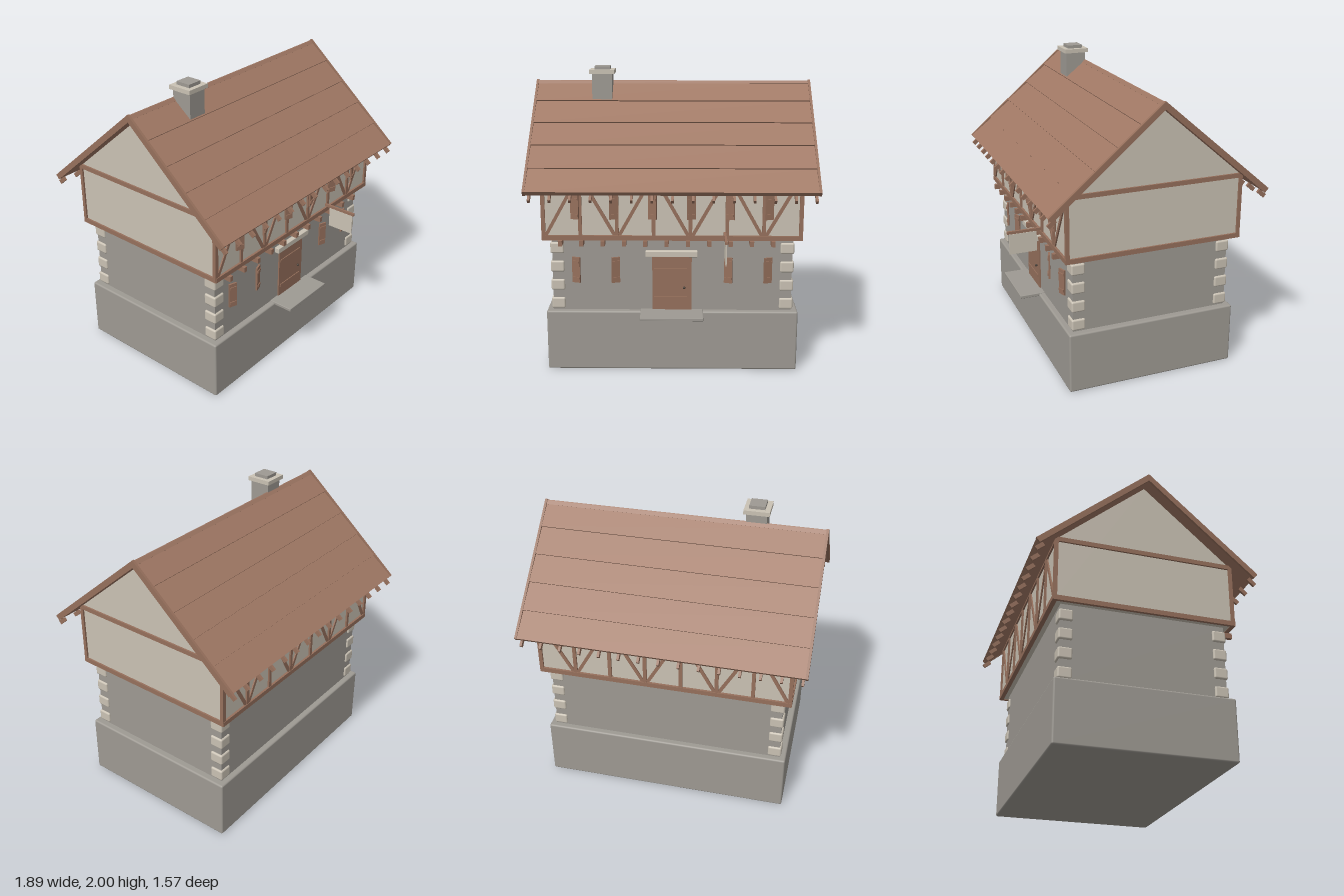
import * as THREE from 'three';
import { RoundedBoxGeometry } from 'three/addons/geometries/RoundedBoxGeometry.js';

const mat = (name, color) => Object.assign(new THREE.MeshStandardMaterial({ color }), { name });

export function createModel() {
  const stone = mat('grey stone', 0x9e9a93);
  const plaster = mat('cream plaster', 0xcac2b4);
  const wood = mat('brown timber', 0x96705c);
  const tile = mat('roof brown', 0xa07864);
  const iron = mat('dark iron', 0x4a4038);

  const model = new THREE.Group();
  const house = new THREE.Group(); // the building is symmetric about its own ridge line
  house.name = 'house';
  house.position.z = -0.04;
  model.add(house);

  const add = (name, geo, material, x = 0, y = 0, z = 0, parent = house) => {
    const m = new THREE.Mesh(geo, material);
    m.name = name;
    m.position.set(x, y, z);
    parent.add(m);
    return m;
  };
  // box given by its extents
  const box = (name, material, [x0, x1], [y0, y1], [z0, z1], bevel = 0, parent = house) => {
    const s = [x1 - x0, y1 - y0, z1 - z0];
    const geo = bevel ? new RoundedBoxGeometry(...s, 2, bevel) : new THREE.BoxGeometry(...s);
    return add(name, geo, material, (x0 + x1) / 2, (y0 + y1) / 2, (z0 + z1) / 2, parent);
  };
  // profile in (z, y) extruded along x, centred
  const extrudeX = (pts, width) => {
    const shape = new THREE.Shape(pts.map(p => new THREE.Vector2(...p)));
    const geo = new THREE.ExtrudeGeometry(shape, { depth: width, bevelEnabled: false });
    return geo.rotateY(-Math.PI / 2).translate(width / 2, 0, 0);
  };

  // stone base and ground floor
  box('foundation', stone, [-0.84, 0.84], [0, 0.415], [-0.58, 0.58], 0.012);
  box('groundFloorWalls', stone, [-0.795, 0.795], [0.4, 0.92], [-0.54, 0.54]);
  for (const sx of [-1, 1]) for (const sz of [-1, 1]) for (let i = 0; i < 4; i++) {
    add('cornerStone', new RoundedBoxGeometry(0.092, 0.076, 0.092, 2, 0.012), plaster,
      sx * 0.761, 0.463 + i * 0.128, sz * 0.505);
  }

  // plastered upper floor with gables
  add('upperWalls', extrudeX([[-0.588, 0.92], [0.588, 0.92], [0.588, 1.352], [0, 1.858], [-0.588, 1.352]], 1.68), plaster);

  // timber frame on both long sides
  for (const sz of [-1, 1]) {
    const z = sz * 0.588;
    const beam = (name, w, h, x, y, rot = 0, d = 0.024) => {
      add(name, new THREE.BoxGeometry(w, h, d), wood, x, y, z).rotation.z = rot;
    };
    beam('sillBeam', 1.7, 0.032, 0, 0.931, 0, 0.03);
    beam('topBeam', 1.7, 0.03, 0, 1.34);
    for (let i = 0; i < 8; i++) beam('post', 0.024, 0.42, -0.838 + i * 0.2394, 1.135);
    for (let i = 0; i < 7; i++) {
      const lean = Math.atan2(0.215, 0.385) * (i % 2 ? 1 : -1);
      beam('brace', 0.022, 0.43, -0.718 + i * 0.2394, 1.135, lean, 0.018);
    }
  }
  // timber frame on the gable ends
  for (const sx of [-1, 1]) {
    const xs = [sx * 0.842 - 0.01, sx * 0.842 + 0.01];
    box('gableSill', wood, xs, [0.915, 0.947], [-0.6, 0.6]);
    box('gableTie', wood, xs, [1.33, 1.36], [-0.595, 0.595]);
    for (const sz of [-1, 1]) {
      box('gablePost', wood, xs, [0.93, 1.345], [sz * 0.588 - 0.012, sz * 0.588 + 0.012]);
    }
  }

  // jetty joists below the front overhang
  for (let i = 0; i < 11; i++) {
    const x = -0.73 + i * 0.139;
    box('joist', wood, [x - 0.013, x + 0.013], [0.88, 0.916], [0.5, 0.625]);
  }

  // roof: five stepped courses per slope, bargeboards and rafter tails
  const pitch = 0.709, length = 0.97, courses = 5, step = length / courses;
  const profile = [[length, -0.034], [0, -0.034], [0, -0.008]];
  for (let i = 0; i < courses; i++) {
    if (i) profile.push([i * step, -0.01]);
    profile.push([(i + 1) * step, 0]);
  }
  for (const turn of [0, Math.PI]) {
    const side = new THREE.Group();
    side.name = turn ? 'backRoof' : 'frontRoof';
    side.rotation.y = turn;
    house.add(side);
    const slope = new THREE.Group();
    slope.position.y = 1.9;
    slope.rotation.x = pitch;
    side.add(slope);
    add('roofCourses', extrudeX(profile, 1.86), tile, 0, 0, 0, slope);
    for (const sx of [-1, 1]) {
      box('bargeboard', wood, [sx * 0.936 - 0.008, sx * 0.936 + 0.008], [-0.036, 0.002], [0, length + 0.002], 0, slope);
    }
    for (let i = 0; i < 15; i++) {
      const tail = add('rafterTail', new THREE.BoxGeometry(0.016, 0.028, 0.062), wood,
        -0.905 + i * 0.13, 1.226, 0.709, side);
      tail.rotation.x = pitch;
    }
  }

  // chimney
  box('chimneyStack', stone, [-0.548, -0.413], [1.72, 1.955], [0, 0.14]);
  box('chimneyCap', plaster, [-0.566, -0.396], [1.95, 1.978], [-0.016, 0.154]);
  box('chimneyPot', stone, [-0.532, -0.427], [1.975, 2], [0.017, 0.122]);

  // door, lintel and doorstep
  box('door', wood, [-0.132, 0.13], [0.415, 0.795], [0.53, 0.55]);
  for (const y of [0.5, 0.7]) box('doorStrap', wood, [-0.12, 0.1], [y - 0.01, y + 0.01], [0.545, 0.556]);
  add('doorKnob', new THREE.SphereGeometry(0.009, 12, 8), iron, 0.08, 0.575, 0.557);
  box('lintel', plaster, [-0.175, 0.168], [0.793, 0.832], [0.53, 0.575], 0.004);
  box('doorstep', stone, [-0.21, 0.206], [0.398, 0.42], [0.53, 0.712], 0.004);

  // open shutters, left leaf turned one way and right leaf the other
  const shutter = (x, y, h, wallZ, dir) => {
    const leaf = new THREE.Group();
    leaf.name = 'shutter';
    leaf.position.set(x, y, wallZ + 0.014);
    leaf.rotation.y = dir * 0.32;
    house.add(leaf);
    box('shutterLeaf', wood, [-0.028, 0.028], [-h / 2, h / 2], [-0.006, 0.006], 0, leaf);
    for (const s of [-1, 1]) {
      box('shutterStrap', wood, [-0.024, 0.024], [s * h * 0.32 - 0.008, s * h * 0.32 + 0.008], [0.004, 0.012], 0, leaf);
    }
  };
  for (const x of [-0.505, 0.503]) for (const s of [-1, 1]) shutter(x + s * 0.131, 0.698, 0.175, 0.54, s);
  for (const x of [-0.504, 0, 0.504]) for (const s of [-1, 1]) shutter(x + s * 0.126, 1.14, 0.16, 0.595, s);

  // hanging sign board on its arm
  box('signArm', wood, [0.336, 0.352], [0.953, 0.971], [0.59, 0.827]);
  box('signBoard', plaster, [0.34, 0.348], [0.81, 0.95], [0.628, 0.815]);
  for (const z of [0.66, 0.78]) box('signHook', iron, [0.342, 0.346], [0.945, 0.956], [z - 0.003, z + 0.003]);

  return model;
}
